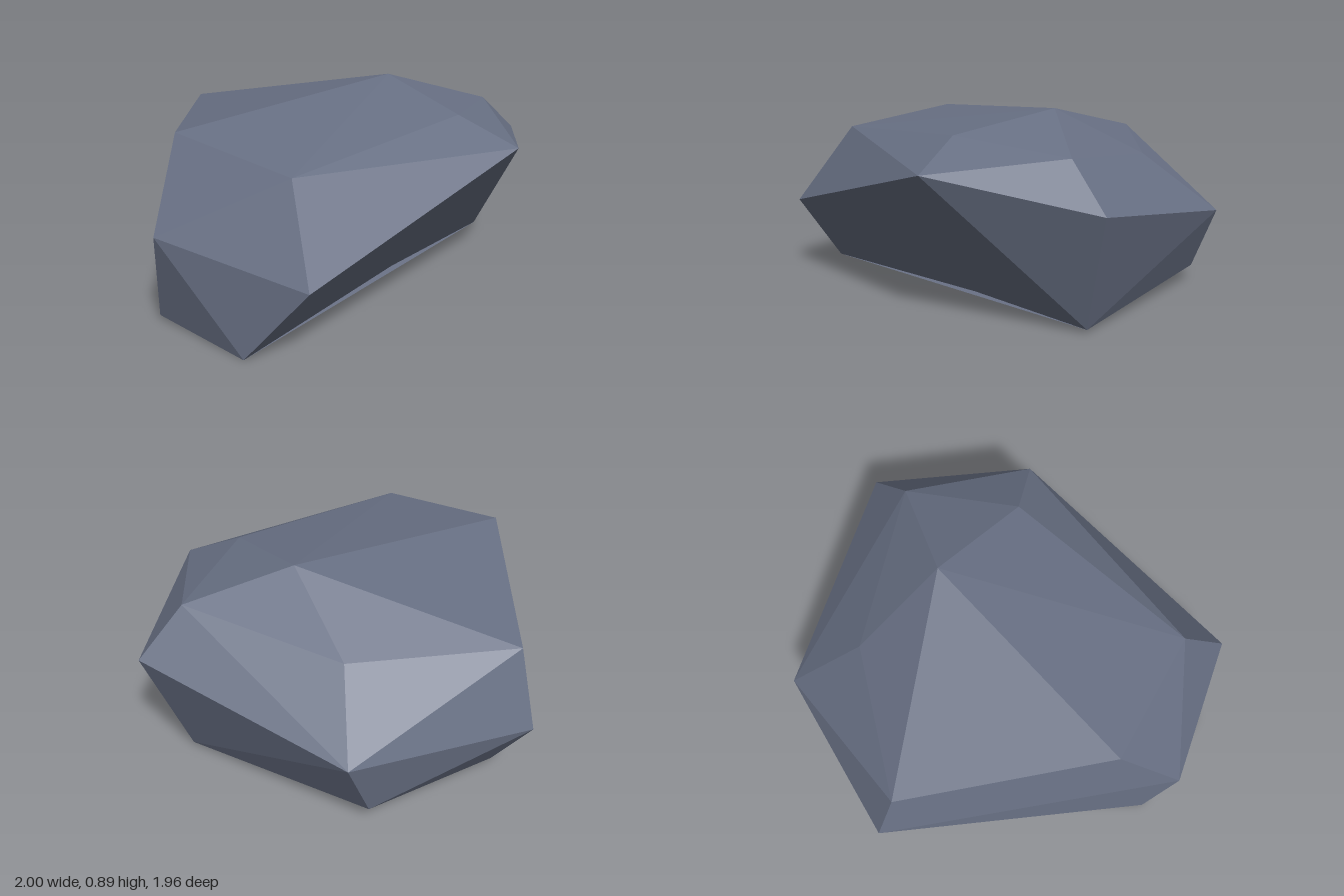
import * as THREE from 'three';

// Three six-sided rings, counterclockwise from the front-right corner, plus a peak
const foot = [[-0.72, 0, 0.77], [0.17, 0.015, 0.18], [0.8, 0.015, -0.18], [0.165, 0.08, -0.91], [-0.5, 0.02, -0.7], [-0.98, 0.015, 0.3]];
const girdle = [[-0.5, 0.36, 0.98], [0.65, 0.67, 0.5], [1, 0.54, -0.19], [0.28, 0.38, -0.98], [-0.57, 0.35, -0.92], [-1, 0.44, 0.42]];
const shoulder = [[-0.48, 0.735, 0.7], [0.43, 0.8, 0.32], [0.78, 0.74, -0.11], [0.19, 0.655, -0.63], [-0.54, 0.7, -0.8], [-0.84, 0.8, 0.15]];
const peak = [0.28, 0.89, -0.17];

export function createModel() {
  const toVectors = (ring) => ring.map((p) => new THREE.Vector3(...p));
  const rings = [foot, girdle, shoulder].map(toVectors);
  const top = new THREE.Vector3(...peak);
  const corners = [];
  const tri = (...points) => corners.push(...points);

  // Split each quad along the diagonal that bulges outward
  const quad = (p, q, r, s) => {
    const plane = new THREE.Plane().setFromCoplanarPoints(p, q, r);
    if (plane.distanceToPoint(s) <= 0) {
      tri(p, q, r);
      tri(p, r, s);
    } else {
      tri(p, q, s);
      tri(q, r, s);
    }
  };

  // Side facets
  for (let k = 0; k < 2; k++) {
    const [lower, upper] = [rings[k], rings[k + 1]];
    for (let i = 0; i < 6; i++) {
      const j = (i + 1) % 6;
      quad(lower[i], lower[j], upper[j], upper[i]);
    }
  }

  // Top facets around the peak
  for (let i = 0; i < 6; i++) tri(top, rings[2][i], rings[2][(i + 1) % 6]);

  // Underside
  const base = rings[0];
  for (let i = 1; i < 5; i++) tri(base[0], base[i + 1], base[i]);

  const geometry = new THREE.BufferGeometry().setFromPoints(corners);
  geometry.computeVertexNormals();

  const stone = new THREE.MeshStandardMaterial({ color: 0x687084, flatShading: true });
  stone.name = 'slateStone';
  const boulder = new THREE.Mesh(geometry, stone);
  boulder.name = 'boulder';

  const group = new THREE.Group();
  group.name = 'rock';
  group.add(boulder);
  return group;
}
